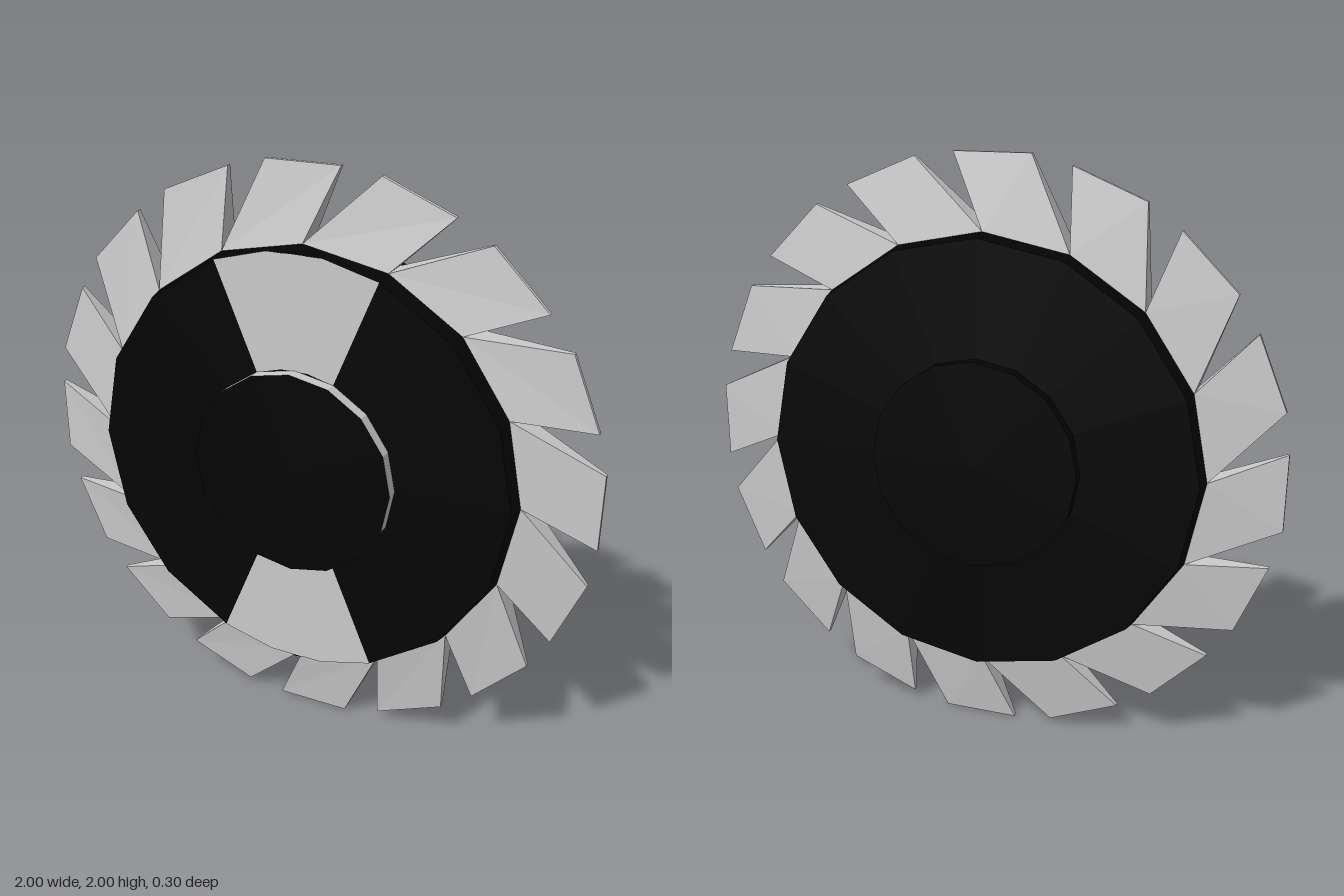
import * as THREE from 'three';

const SIDES = 16;
const STEP = (Math.PI * 2) / SIDES;
const DISC_R = 0.757, FACE_R = 0.745, HUB_R = 0.357;
const FACE_Z = 0.108, HUB_Z = 0.15, ROOT_Z = 0.048, TIP_Z = 0.008;

const grey = new THREE.MeshStandardMaterial({ color: 0xcccccc, flatShading: true });
const black = new THREE.MeshStandardMaterial({ color: 0x040404, flatShading: true });

// Faceted solid of revolution about z, from [radius, z] pairs running back to front
function turned(name, profile, material) {
  const points = profile.map(([r, z]) => new THREE.Vector2(r, z));
  const geometry = new THREE.LatheGeometry(points, SIDES).rotateX(Math.PI / 2);
  const mesh = new THREE.Mesh(geometry, material);
  mesh.name = name;
  return mesh;
}

// Slanted cutting tooth: a box whose corners move to a wide root and a thin tip
function toothGeometry() {
  const geometry = new THREE.BoxGeometry(1, 1, 1);
  const p = geometry.attributes.position;
  for (let i = 0; i < p.count; i++) {
    const tip = p.getY(i) > 0, leading = p.getX(i) > 0;
    const degrees = tip ? (leading ? 83.7 : 98.5) : (leading ? 90 : 112.5);
    const r = tip ? (leading ? 1.006 : 1.011) : DISC_R;
    const a = THREE.MathUtils.degToRad(degrees);
    const z = Math.sign(p.getZ(i)) * (tip ? TIP_Z : ROOT_Z);
    p.setXYZ(i, r * Math.cos(a), r * Math.sin(a), z);
  }
  geometry.computeVertexNormals();
  return geometry;
}

export function createModel() {
  const group = new THREE.Group();
  const blade = new THREE.Group();
  blade.name = 'sawBlade';
  blade.position.y = 1;
  group.add(blade);

  // Disc with a slightly bevelled rim
  blade.add(turned('disc', [
    [0, -FACE_Z], [FACE_R, -FACE_Z], [DISC_R, -ROOT_Z],
    [DISC_R, ROOT_Z], [FACE_R, FACE_Z], [0, FACE_Z],
  ], black));

  // Hub: black boss at the back, grey wall with a black cap at the front
  blade.add(turned('backHub', [[0, -HUB_Z], [HUB_R, -HUB_Z], [HUB_R, -FACE_Z]], black));
  blade.add(turned('frontHubWall', [[HUB_R, FACE_Z], [HUB_R, HUB_Z]], grey));
  blade.add(turned('frontHubCap', [[HUB_R, HUB_Z], [0, HUB_Z]], black));

  // Two grey sector panels on the front face
  for (const [name, middle] of [['topPanel', Math.PI / 2], ['bottomPanel', -Math.PI / 2]]) {
    const panel = new THREE.Mesh(
      new THREE.RingGeometry(HUB_R, FACE_R, 2, 1, middle - STEP, STEP * 2), grey);
    panel.name = name;
    panel.position.z = FACE_Z + 0.0015;
    blade.add(panel);
  }

  // Ring of teeth, one per side of the disc
  const teeth = new THREE.Group();
  teeth.name = 'teeth';
  const geometry = toothGeometry();
  for (let i = 0; i < SIDES; i++) {
    const tooth = new THREE.Mesh(geometry, grey);
    tooth.name = `tooth${i + 1}`;
    tooth.rotation.z = -i * STEP;
    teeth.add(tooth);
  }
  blade.add(teeth);

  return group;
}
